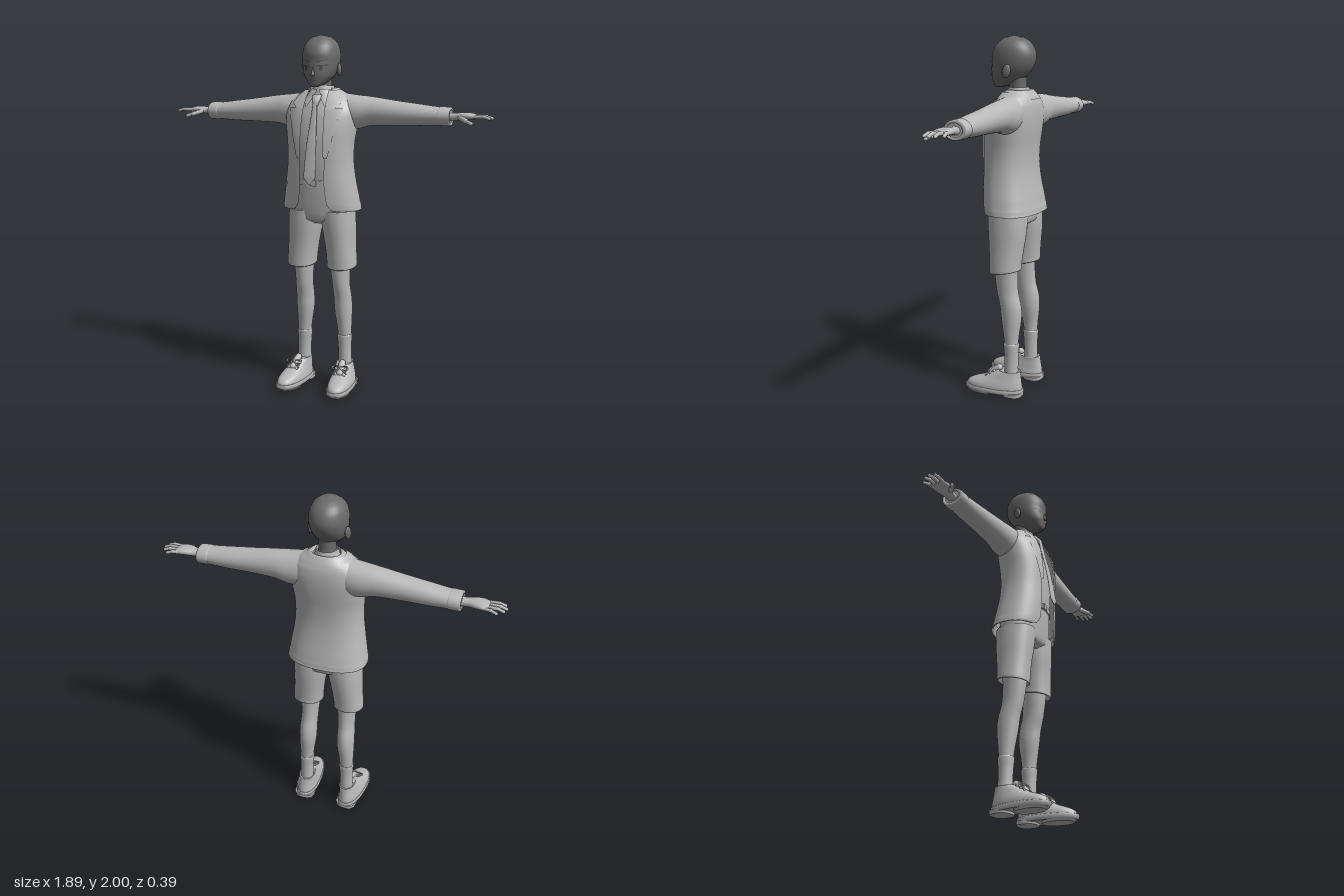
import * as THREE from 'three';

const mat = (name, color) => {
  const m = new THREE.MeshStandardMaterial({ color, side: THREE.DoubleSide });
  m.name = name;
  return m;
};

// Rings are [y, halfWidth, zFront, zBack, centreX, frontGap]; smooth them with a spline.
function refine(rings, sub) {
  const R = rings.map(r => [0, 1, 2, 3, 4, 5].map(k => r[k] ?? 0));
  const out = [];
  for (let i = 0; i < R.length - 1; i++) {
    const a = R[Math.max(i - 1, 0)], b = R[i], c = R[i + 1], d = R[Math.min(i + 2, R.length - 1)];
    for (let s = 0; s < sub; s++) {
      const t = s / sub;
      out.push(b.map((v, k) => k === 0 ? v + (c[0] - v) * t
        : 0.5 * (2 * v + (c[k] - a[k]) * t + (2 * a[k] - 5 * v + 4 * c[k] - d[k]) * t * t
          + (3 * v - a[k] - 3 * c[k] + d[k]) * t * t * t)));
    }
  }
  out.push(R[R.length - 1]);
  out.forEach(r => { r[1] = Math.max(r[1], 0.0005); });
  return out;
}

const spow = (v, p) => Math.sign(v) * Math.abs(v) ** p;

// Skin through rounded cross-sections stacked in y, with an optional open front.
function loft(rings, { p = 1, seg = 32, sub = 4, caps = true } = {}) {
  const R = refine(rings, sub), open = R.some(r => r[5] > 0);
  const pos = [], idx = [], n = open ? seg + 1 : seg;
  const ring = ([y, w, zf, zb, cx, gap]) => {
    const t0 = gap > 0 ? Math.asin(Math.min(1, (gap / w) ** (1 / p))) : 0;
    for (let j = 0; j < n; j++) {
      const t = t0 + (2 * Math.PI - 2 * t0) * j / seg;
      pos.push(cx + w * spow(Math.sin(t), p), y, (zf + zb) / 2 + (zf - zb) / 2 * spow(Math.cos(t), p));
    }
  };
  R.forEach(ring);
  for (let i = 0; i < R.length - 1; i++) for (let j = 0; j < seg; j++) {
    const k = (j + 1) % n, a = i * n + j, b = i * n + k;
    idx.push(a, b, a + n, b, b + n, a + n);
  }
  if (!open && caps) [R[0], R[R.length - 1]].forEach((r, e) => {
    const s = pos.length / 3;
    ring(r);
    pos.push(r[4], r[0], (r[2] + r[3]) / 2);
    for (let j = 0; j < n; j++) {
      const a = s + j, b = s + (j + 1) % n;
      idx.push(...(e ? [a, b, s + n] : [b, a, s + n]));
    }
  });
  return build(pos, idx);
}

function build(pos, idx) {
  const g = new THREE.BufferGeometry();
  g.setAttribute('position', new THREE.Float32BufferAttribute(pos, 3));
  g.setIndex(idx);
  g.computeVertexNormals();
  return g;
}

// Front depth of a lofted surface at x, y.
function depth(rings, p, x, y) {
  let i = 0;
  while (i < rings.length - 2 && rings[i + 1][0] < y) i++;
  const a = rings[i], b = rings[i + 1], t = THREE.MathUtils.clamp((y - a[0]) / (b[0] - a[0]), 0, 1);
  const [w, zf, zb] = [1, 2, 3].map(k => a[k] + (b[k] - a[k]) * t);
  const u = Math.min(Math.abs(x) / w, 0.98);
  return (zf + zb) / 2 + (zf - zb) / 2 * (1 - u ** (2 / p)) ** (p / 2);
}

// Thin piece lying on a lofted front; rows are [y, innerX, outerX] from bottom to top, optional outer lift.
function patch(rows, rings, p, lift, n = 6) {
  const R = refine(rings, 4), pos = [], idx = [];
  rows.forEach(([y, a, b, dy = 0], i) => {
    for (let j = 0; j <= n; j++) {
      const x = a + (b - a) * j / n, yy = y + dy * j / n;
      pos.push(x, yy, depth(R, p, x, yy) + lift);
      if (i && j) {
        const d = i * (n + 1) + j, c = d - 1, bb = d - n - 1, aa = bb - 1;
        idx.push(aa, bb, c, bb, d, c);
      }
    }
  });
  return build(pos, idx);
}

// Rounded rod between two points.
function rod(a, b, r) {
  const A = new THREE.Vector3(...a), B = new THREE.Vector3(...b), d = B.clone().sub(A);
  const g = new THREE.CapsuleGeometry(r, d.length(), 5, 12);
  g.applyQuaternion(new THREE.Quaternion().setFromUnitVectors(new THREE.Vector3(0, 1, 0), d.normalize()));
  return g.translate(...A.add(B).multiplyScalar(0.5).toArray());
}

export function createModel() {
  const model = new THREE.Group();
  const light = mat('light grey', 0xb8b8b8), dark = mat('dark grey', 0x6a6a6a), deep = mat('deep grey', 0x484848);
  const add = (name, geo, m = light) => {
    const mesh = new THREE.Mesh(geo, m);
    mesh.name = name;
    model.add(mesh);
  };
  const pair = (name, geo, m = light) => {
    add(name + 'Left', geo, m);
    const g = geo.clone().scale(-1, 1, 1), ix = g.index.array;
    for (let i = 0; i < ix.length; i += 3) [ix[i], ix[i + 1]] = [ix[i + 1], ix[i]];
    g.computeVertexNormals();
    add(name + 'Right', g, m);
  };

  // Head and face
  const head = [[1.722, .014, .082, .045], [1.732, .034, .09, .0], [1.75, .055, .094, -.05], [1.78, .079, .099, -.092],
    [1.82, .094, .098, -.125], [1.86, .1, .096, -.145], [1.9, .1, .096, -.15], [1.94, .092, .08, -.137],
    [1.97, .073, .053, -.112], [1.99, .045, .022, -.078], [2, .001, -.022, -.026]];
  add('head', loft(head, { p: .95, seg: 40 }), dark);
  add('neck', loft([[1.64, .052, -.005, -.115], [1.72, .046, -.005, -.1], [1.78, .047, 0, -.1]]), dark);
  add('nose', loft([[1.778, .003, .1, .08], [1.786, .011, .113, .08], [1.8, .008, .108, .08], [1.84, .004, .097, .08]], { seg: 14 }), dark);
  add('mouth', patch([[1.757, -.018, .018], [1.76, -.018, .018]], head, .95, .002), deep);
  pair('eye', patch([[1.808, .032, .056], [1.822, .027, .066], [1.832, .027, .07]], head, .95, .002), dark);
  pair('iris', patch([[1.809, .036, .05], [1.831, .036, .052]], head, .95, .0035), deep);
  pair('eyelash', patch([[1.83, .023, .078, .004], [1.837, .026, .074, .004]], head, .95, .004), deep);
  pair('eyebrow', patch([[1.853, .018, .078, .014], [1.858, .018, .078, .01]], head, .95, .003), deep);
  pair('ear', new THREE.SphereGeometry(1, 16, 12).scale(.012, .036, .023).rotateX(-.2).rotateY(.3).translate(.102, 1.815, -.03), dark);

  // Shirt with collar
  const shirt = [[1.18, .16, .085, -.11], [1.3, .165, .095, -.12], [1.45, .17, .092, -.13], [1.56, .16, .072, -.13],
    [1.63, .125, .045, -.12], [1.68, .075, .016, -.112], [1.7, .06, .004, -.11]];
  add('shirt', loft(shirt, { p: .9 }));
  add('shirtCollar', loft([[1.66, .075, .018, -.122], [1.7, .064, .01, -.118], [1.728, .057, .002, -.112]], { sub: 2, caps: false }));
  pair('collarFlap', patch([[1.615, .054, .06], [1.64, .036, .073], [1.67, .018, .078], [1.71, .006, .06]], shirt, .9, .018));

  // Tie hanging forward of the shirt
  add('tie', loft([[1.2, .002, .157, .151], [1.232, .034, .153, .145], [1.25, .035, .151, .143], [1.45, .026, .118, .108], [1.63, .012, .078, .062]],
    { p: .8, sub: 2, seg: 20 }));
  add('tieKnot', loft([[1.622, .013, .078, .045], [1.65, .022, .074, .03], [1.68, .026, .05, .015]], { p: .8, sub: 3, seg: 20 }));

  // Open jacket, lapels and back collar
  const jacket = [[1.045, .225, .105, -.19, 0, .135], [1.055, .224, .11, -.188, 0, .105], [1.09, .218, .115, -.182, 0, .083],
    [1.2, .2, .12, -.162, 0, .07], [1.3, .188, .12, -.15, 0, .072], [1.4, .188, .12, -.152, 0, .076], [1.5, .2, .11, -.163, 0, .074],
    [1.58, .205, .09, -.167, 0, .07], [1.64, .185, .06, -.161, 0, .066], [1.68, .142, .032, -.145, 0, .062], [1.705, .1, .012, -.128, 0, .058]];
  add('jacket', loft(jacket, { p: .85, seg: 56 }));
  add('jacketHem', loft([[1.046, .226, .106, -.191, 0, .135], [1.046, .218, .098, -.182, 0, .13], [1.1, .209, .105, -.174, 0, .09]],
    { p: .85, sub: 1, seg: 56 }));
  pair('lapel', patch([[1.34, .07, .09], [1.36, .068, .095], [1.45, .066, .116], [1.55, .064, .14], [1.61, .063, .155]], jacket, .85, .009));
  pair('lapelTop', patch([[1.605, .063, .108], [1.625, .062, .142, .01], [1.66, .06, .125, .008], [1.705, .058, .098]], jacket, .85, .01));
  add('jacketCollar', loft([[1.665, .152, .035, -.158, 0, .1], [1.69, .115, .02, -.146, 0, .08], [1.715, .083, .005, -.13, 0, .062], [1.7, .07, .0, -.12, 0, .06]],
    { p: .9, sub: 2 }));
  pair('jacketPocketFlap', patch([[1.185, .12, .17], [1.2, .12, .17]], jacket, .85, .004));

  // Sleeves run along x
  const along = (rings, o) => loft(rings, o).rotateZ(-Math.PI / 2);
  pair('sleeve', along([[.05, .09, .005, -.12, -1.605], [.12, .098, .02, -.145, -1.59], [.2, .093, .02, -.15, -1.585], [.27, .08, .008, -.146, -1.591],
    [.4, .068, 0, -.14, -1.585], [.55, .058, -.008, -.138, -1.577], [.67, .048, -.014, -.136, -1.573], [.715, .045, -.018, -.134, -1.572]]));
  pair('cuff', along([[.655, .048, -.013, -.138, -1.573], [.66, .051, -.01, -.141, -1.573], [.715, .05, -.012, -.14, -1.572], [.72, .046, -.016, -.136, -1.572],
    [.72, .036, -.03, -.12, -1.572], [.7, .034, -.032, -.118, -1.572]], { sub: 1 }));

  // Hands
  pair('palm', along([[.69, .022, -.045, -.105, -1.57], [.745, .02, -.046, -.104, -1.572], [.785, .02, -.032, -.118, -1.576],
    [.82, .018, -.03, -.125, -1.577], [.85, .013, -.036, -.124, -1.575], [.862, .006, -.045, -.117, -1.574]], { p: .85, seg: 24 }));
  [[-.046, -.04, .932], [-.069, -.07, .942], [-.092, -.099, .932], [-.115, -.128, .902]].forEach(([z0, z1, x], i) => {
    const bend = x - .035;
    const mz = z0 + (z1 - z0) * .55;
    pair('finger' + (i + 1), rod([.835, 1.575, z0], [bend, 1.577, mz], .0105));
    pair('fingertip' + (i + 1), rod([bend, 1.577, mz], [x - .006, 1.568, z1], .009));
  });
  pair('thumb', rod([.775, 1.568, -.045], [.815, 1.553, -.008], .014));
  pair('thumbTip', rod([.815, 1.553, -.008], [.843, 1.543, .006], .0105));

  // Shorts and belt
  add('hips', loft([[.965, .1, .03, -.1], [.99, .17, .065, -.14], [1.05, .188, .076, -.15], [1.12, .182, .082, -.142], [1.22, .164, .088, -.118]], { p: .9 }));
  const hem = g => {
    const P = g.attributes.position;
    for (let i = 0; i < P.count; i++) if (P.getY(i) < .8) P.setY(i, P.getY(i) - (P.getZ(i) + .035) * .15);
    g.computeVertexNormals();
    return g;
  };
  pair('shortsLeg', hem(loft([[.75, .07, .035, -.105, .12], [.72, .08, .05, -.12, .122], [.725, .084, .053, -.124, .122], [.75, .0835, .054, -.125, .121],
    [.85, .086, .06, -.135, .112], [.95, .094, .07, -.147, .102], [1.04, .095, .074, -.148, .096]], { p: .92, sub: 2 })));
  add('belt', loft([[1.185, .17, .093, -.124], [1.215, .168, .094, -.122]], { p: .9, sub: 1 }));
  add('buckle', new THREE.BoxGeometry(.034, .032, .008).translate(0, 1.2, .097));

  // Legs and socks
  pair('leg', loft([[.26, .037, -.037, -.113, .125], [.34, .041, -.03, -.117, .124], [.45, .05, -.012, -.13, .118], [.52, .05, -.002, -.127, .117],
    [.6, .048, .018, -.108, .114], [.7, .053, .032, -.102, .111], [.78, .058, .036, -.105, .11]]));
  pair('sock', loft([[.08, .042, -.03, -.12, .13], [.15, .038, -.036, -.115, .128], [.24, .039, -.034, -.116, .126], [.3, .043, -.029, -.12, .125],
    [.306, .04, -.032, -.117, .125]], { sub: 3 }));

  // Shoes, turned slightly outward
  const turn = g => g.translate(-.135, 0, .06).rotateY(.09).translate(.135, 0, -.06);
  pair('shoeUpper', turn(loft([[.03, .067, .192, -.143, .138], [.05, .067, .188, -.143, .138], [.07, .063, .163, -.14, .138], [.095, .056, .095, -.136, .136],
    [.125, .049, .04, -.132, .134], [.143, .046, .003, -.13, .132], [.138, .038, -.01, -.122, .132]], { p: .88, sub: 3 })));
  pair('shoeSole', turn(loft([[.012, .066, .188, -.142, .138], [.02, .072, .2, -.149, .138], [.037, .072, .2, -.149, .138], [.04, .068, .195, -.145, .138]],
    { p: .85, sub: 1 })));
  pair('shoeHeel', turn(loft([[0, .06, -.03, -.146, .138], [.022, .062, -.026, -.148, .138]], { p: .75, sub: 1 })));
  pair('shoeTread', turn(loft([[0, .058, .17, .0, .138], [.014, .066, .188, -.005, .138]], { p: .85, sub: 1 })));
  pair('shoeTongue', turn(rod([.136, .108, .055], [.133, .15, -.005], .02)));
  [[.112, .078], [.128, .054], [.144, .03]].forEach(([y, z], i) =>
    pair('lace' + (i + 1), turn(rod([.105, y - .008, z - .012], [.165, y - .008, z - .012], .006))));
  [-1, 1].forEach((s, i) => {
    pair('laceLoop' + (i + 1), turn(new THREE.TorusGeometry(.015, .004, 6, 16).scale(1.4, .8, 1).rotateX(-.7).translate(.135 + s * .024, .138, .046)));
    pair('laceEnd' + (i + 1), turn(rod([.135, .138, .048], [.135 + s * .038, .112, .062], .004)));
  });
  return model;
}
